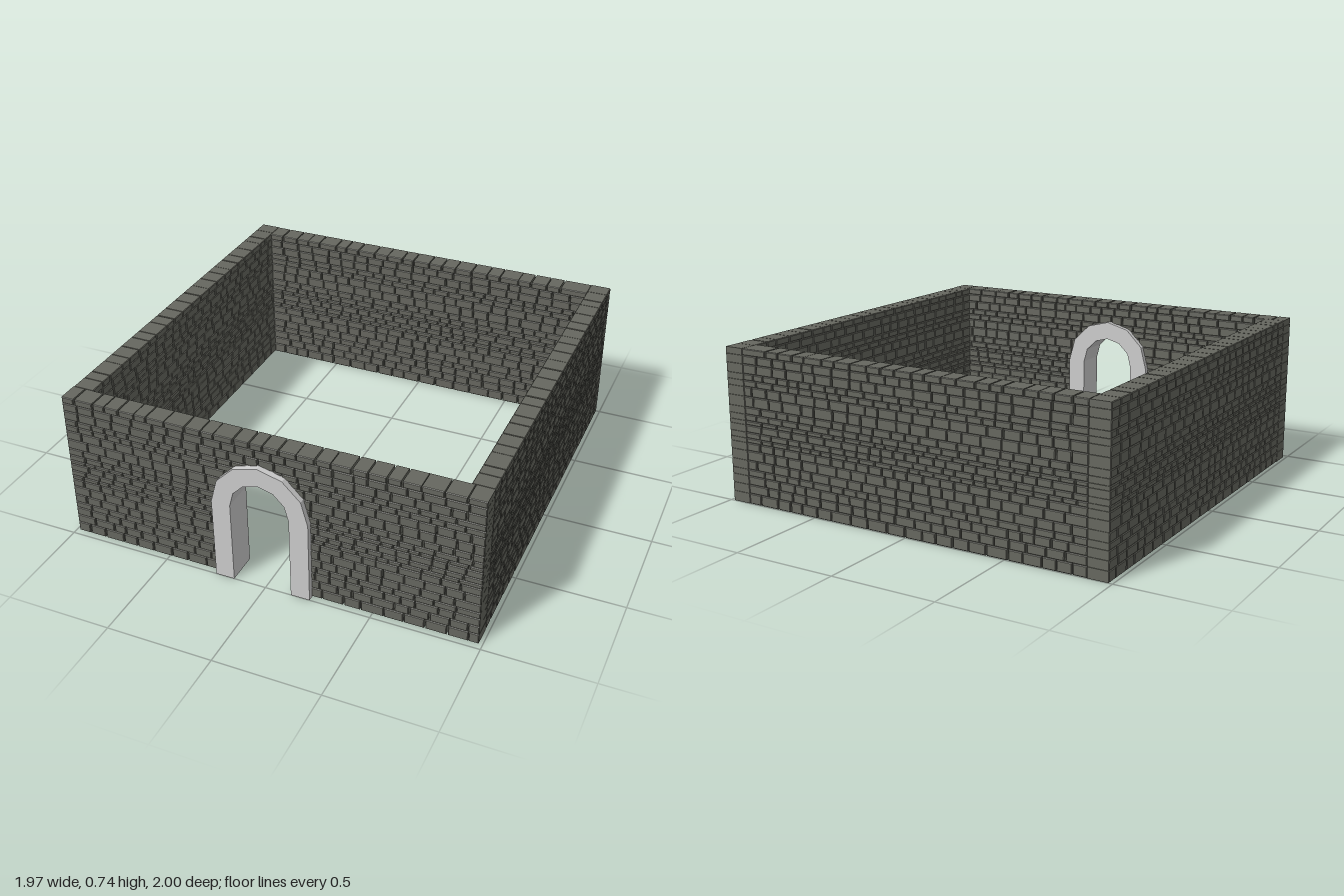
import * as THREE from 'three';
import { mergeGeometries } from 'three/addons/utils/BufferGeometryUtils.js';

const THICK = 0.1;
// Heights of the course joints, from the ground up
const JOINTS = [0, 0.05, 0.093, 0.135, 0.167, 0.21, 0.257, 0.295, 0.317, 0.345, 0.38,
  0.4, 0.43, 0.465, 0.515, 0.56, 0.59, 0.62, 0.665, 0.705, 0.737];
const ARCH = { x: -0.015, spring: 0.405, outer: 0.23, inner: 0.14 };

function seeded(seed) {
  let s = seed;
  return () => {
    s = (s * 16807) % 2147483647;
    return s / 2147483647;
  };
}

// One block through the wall, its front and back edges chamfered
function stone(x0, x1, y0, y1) {
  const w = x1 - x0, h = y1 - y0, bevel = 0.003;
  const box = new THREE.BoxGeometry(w, h, THICK, 1, 1, 3);
  const p = box.attributes.position;
  for (let i = 0; i < p.count; i++) {
    const z = p.getZ(i);
    if (Math.abs(z) > THICK * 0.4) {
      p.setX(i, p.getX(i) - Math.sign(p.getX(i)) * bevel);
      p.setY(i, p.getY(i) - Math.sign(p.getY(i)) * bevel);
    } else {
      p.setZ(i, Math.sign(z) * (THICK / 2 - bevel));
    }
  }
  // The outermost faces stay at full depth
  const flat = box.toNonIndexed();
  flat.computeVertexNormals();
  flat.translate((x0 + x1) / 2, (y0 + y1) / 2, 0);
  return flat;
}

// Half width of the doorway cut at a given height, hidden inside the arch ring
function doorHalfWidth(y) {
  if (y < ARCH.spring) return 0.18;
  const r = 0.15, dy = y - ARCH.spring;
  return dy < r ? Math.sqrt(r * r - dy * dy) : 0;
}

// Fill one span of a course with stones of uneven length
function fillSpan(out, a, b, y0, y1, random) {
  let x = a;
  while (x < b - 0.001) {
    let next = x + 0.04 + random() * 0.045 + (y1 - y0) * 0.5;
    if (b - next < 0.04) next = b;
    const gap = next === b ? 0 : 0.002 + random() * 0.006;
    out.push(stone(x, next - gap, y0 + 0.0008, y1 - 0.0008));
    x = next;
  }
}

function wallGeometry(a, b, seed, door) {
  const random = seeded(seed);
  const stones = [];
  for (let i = 0; i < JOINTS.length - 1; i++) {
    const y0 = JOINTS[i], y1 = JOINTS[i + 1];
    const half = door ? doorHalfWidth(y0) : 0;
    if (half > 0) {
      fillSpan(stones, a, ARCH.x - half, y0, y1, random);
      fillSpan(stones, ARCH.x + half, b, y0, y1, random);
    } else {
      fillSpan(stones, a, b, y0, y1, random);
    }
  }
  return mergeGeometries(stones);
}

// Faceted door surround: two legs and a half ring of six segments
function archGeometry() {
  const shape = new THREE.Shape();
  const { x, spring, outer, inner } = ARCH;
  shape.moveTo(x + outer, 0);
  for (let i = 0; i <= 6; i++) {
    const t = (i / 6) * Math.PI;
    shape.lineTo(x + outer * Math.cos(t), spring + outer * Math.sin(t));
  }
  shape.lineTo(x - outer, 0);
  shape.lineTo(x - inner, 0);
  for (let i = 6; i >= 0; i--) {
    const t = (i / 6) * Math.PI;
    shape.lineTo(x + inner * Math.cos(t), spring + inner * Math.sin(t));
  }
  shape.lineTo(x + inner, 0);
  shape.closePath();
  return new THREE.ExtrudeGeometry(shape, { depth: 0.153, bevelEnabled: false });
}

export function createModel() {
  const model = new THREE.Group();
  const stoneMat = new THREE.MeshStandardMaterial({ color: 0x66675f });
  stoneMat.name = 'dark stone';
  const archMat = new THREE.MeshStandardMaterial({ color: 0xcccccc });
  archMat.name = 'pale stone';

  const add = (name, geometry, material, x, z, turn = 0) => {
    const mesh = new THREE.Mesh(geometry, material);
    mesh.name = name;
    mesh.position.set(x, 0, z);
    mesh.rotation.y = turn;
    model.add(mesh);
  };

  // Front wall spans both corners and holds the doorway
  add('frontWall', wallGeometry(-0.985, 0.982, 4127, true), stoneMat, 0, 0.922);
  add('backWall', wallGeometry(-0.885, 0.882, 9173, false), stoneMat, 0, -0.95);

  // Matching side walls, with joints in line
  const side = wallGeometry(-0.872, 1, 2711, false);
  add('leftWall', side, stoneMat, 0.932, 0, Math.PI / 2);
  add('rightWall', side, stoneMat, -0.935, 0, Math.PI / 2);

  // Door surround stands proud on both faces of the wall
  add('doorArch', archGeometry(), archMat, 0, 0.847);
  return model;
}
